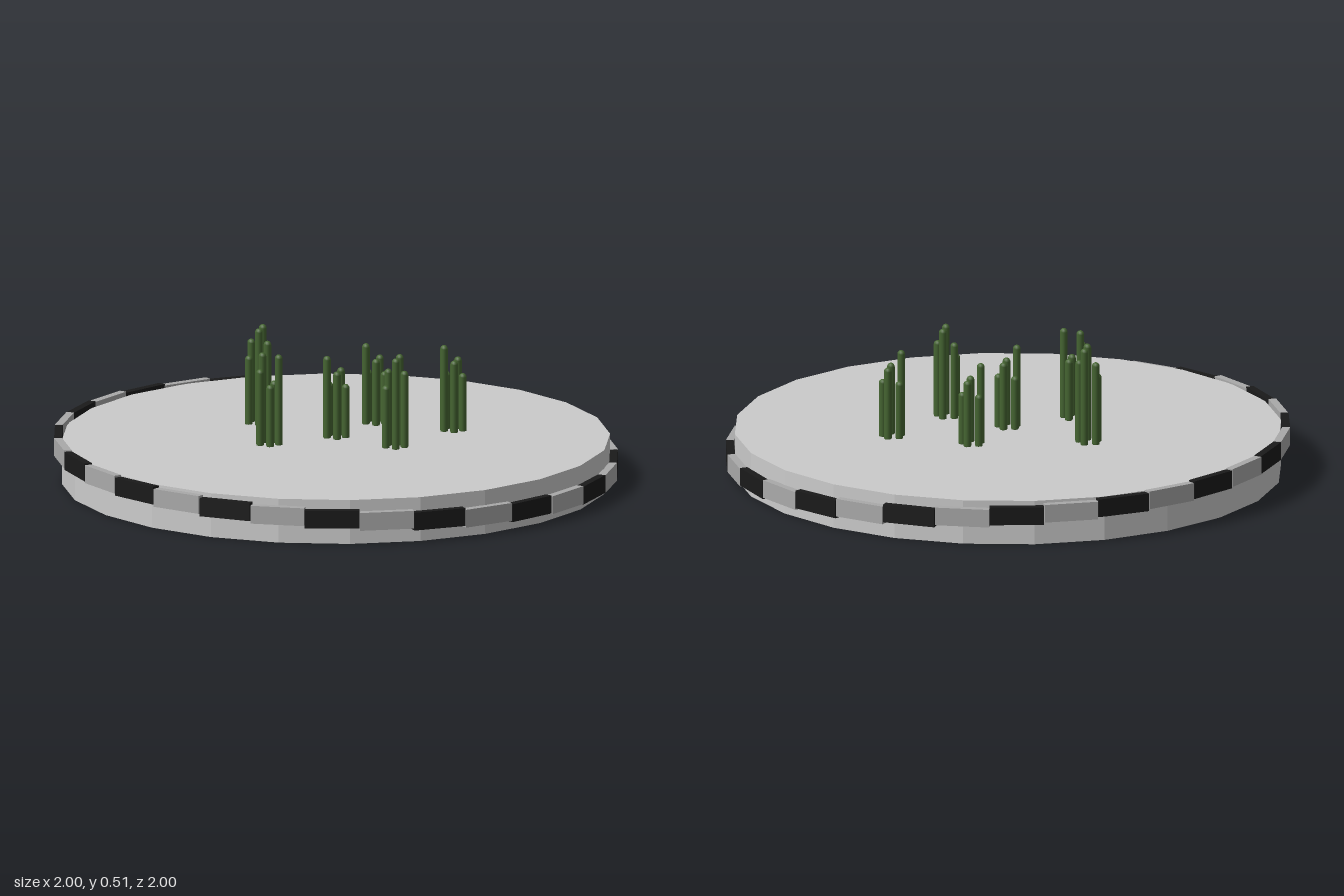
import * as THREE from 'three';

const WALL_R = 0.975, TOP = 0.16;

function paint(color, extra = {}) {
  return new THREE.MeshStandardMaterial({ color, ...extra });
}

function add(parent, name, geometry, material) {
  const mesh = new THREE.Mesh(geometry, material);
  mesh.name = name;
  parent.add(mesh);
  return mesh;
}

// Five round-topped stems in a ring; heights step through three sizes
function stemCluster(x, z, base, start, material) {
  const cluster = new THREE.Group();
  cluster.name = 'stemCluster';
  const r = 0.014, bottom = 0.15;
  for (let i = 0; i < 5; i++) {
    const a = (i / 5) * Math.PI * 2;
    const height = base + ((i + start) % 3) * 0.052 - bottom;
    const stem = add(cluster, 'stem', new THREE.CapsuleGeometry(r, height - 2 * r, 4, 8), material);
    stem.position.set(Math.cos(a) * 0.035, bottom + height / 2, Math.sin(a) * 0.035);
  }
  cluster.position.set(x, 0, z);
  return cluster;
}

export function createModel() {
  const model = new THREE.Group();
  model.name = 'islandPlatform';
  const grey = paint(0xcccccc, { flatShading: true });

  // Open-bottomed wall
  const wall = add(model, 'wall',
    new THREE.CylinderGeometry(WALL_R, WALL_R, TOP, 24, 1, true),
    paint(0xcccccc, { flatShading: true, side: THREE.DoubleSide }));
  wall.position.y = TOP / 2;

  // Grey top surface and green underside, on the same corners as the wall
  const disc = new THREE.CircleGeometry(WALL_R, 24);
  const top = add(model, 'topSurface', disc, grey);
  top.rotation.x = -Math.PI / 2;
  top.position.y = TOP;
  const under = add(model, 'underside', disc, paint(0x2d4420));
  under.rotation.x = Math.PI / 2;
  under.position.y = TOP - 0.002;

  // Ring of alternating kerb blocks, sloping down toward +x
  const kerb = new THREE.Group();
  kerb.name = 'kerbRing';
  model.add(kerb);
  const block = new THREE.BoxGeometry(0.028, 0.065, 0.194);
  const blockColors = [paint(0xaaaaaa), paint(0x1a1a1a)];
  const count = 32;
  for (let i = 0; i < count; i++) {
    const a = (i / count) * Math.PI * 2;
    const b = add(kerb, i % 2 ? 'darkBlock' : 'lightBlock', block, blockColors[i % 2]);
    b.position.set(Math.cos(a) * 0.986, 0.103 - 0.043 * Math.cos(a), Math.sin(a) * 0.986);
    b.rotation.y = -a;
  }

  // Plant clusters: x, z, shortest stem top, height step at first stem
  const green = paint(0x466632);
  const clusters = [
    [0, 0, 0.355, 0], [0.236, 0.105, 0.387, 1], [-0.209, 0.16, 0.385, 2],
    [0.09, -0.24, 0.35, 0], [-0.316, -0.15, 0.41, 1], [0.385, -0.188, 0.37, 0],
  ];
  for (const [x, z, base, start] of clusters) model.add(stemCluster(x, z, base, start, green));

  return model;
}
